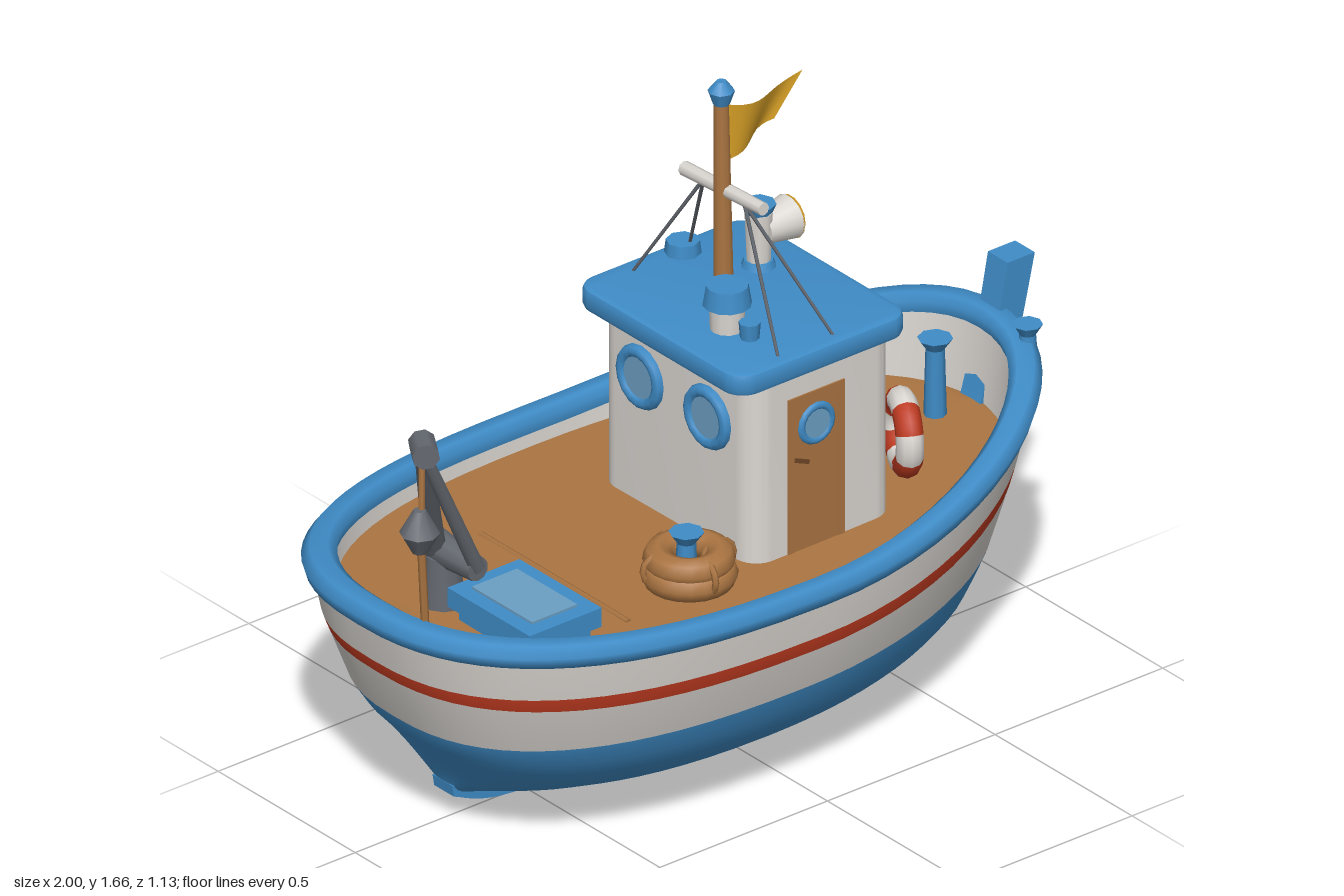
import * as THREE from 'three';
import { toCreasedNormals } from 'three/addons/utils/BufferGeometryUtils.js';

const paint = (name, color) => {
  const m = new THREE.MeshStandardMaterial({ color });
  m.name = name;
  return m;
};

export function createModel() {
  const blue = paint('blue', 0x3f8cc7), white = paint('white', 0xdbd7d2), red = paint('red', 0xbd3a20);
  const wood = paint('wood', 0xab7542), darkWood = paint('darkWood', 0x6e4726), yellow = paint('yellow', 0xd9a127);
  const grey = paint('grey', 0x646970), glass = paint('glass', 0x6c9fc3);
  yellow.side = THREE.DoubleSide;

  const boat = new THREE.Group();
  boat.name = 'fishingBoat';
  const V = (x, y, z) => new THREE.Vector3(x, y, z);

  function add(name, geo, mat, pos = [0, 0, 0], rot = [0, 0, 0], parent = boat) {
    const m = new THREE.Mesh(geo, mat);
    m.name = name;
    m.position.set(...pos);
    m.rotation.set(...rot);
    parent.add(m);
    return m;
  }
  const box = (name, size, mat, pos, rot) => add(name, new THREE.BoxGeometry(...size), mat, pos, rot);
  const post = (name, r0, r1, h, mat, [x, y, z], sides = 12) => // stands on y
    add(name, new THREE.CylinderGeometry(r1, r0, h, sides), mat, [x, y + h / 2, z]);
  function rod(name, a, b, r0, r1, mat, sides = 8) {
    const d = b.clone().sub(a);
    const m = add(name, new THREE.CylinderGeometry(r1, r0, d.length(), sides), mat);
    m.position.copy(a).addScaledVector(d, 0.5);
    m.quaternion.setFromUnitVectors(V(0, 1, 0), d.normalize());
    return m;
  }

  // Waterplane ring: half width, bow x, stern x, height, rise at bow and stern, bow fullness
  const N = 72;
  function ring([w, bow, stern, y, riseBow, riseStern, full = 2.1]) {
    const mid = -0.05, pts = [];
    for (let i = 0; i < N; i++) {
      const t = (i / N) * Math.PI * 2, c = Math.cos(t), s = Math.sin(t);
      const n = c > 0 ? full : 2.5;
      const pw = v => Math.sign(v) * Math.pow(Math.abs(v), 2 / n);
      const x = mid + pw(c) * (c > 0 ? bow - mid : mid - stern);
      const rise = x > 0 ? riseBow * (x / bow) ** 1.8 : riseStern * (x / stern) ** 2;
      pts.push(x, y + rise, w * pw(s));
    }
    return pts;
  }
  // Skin over rings; bands lists the material of each strip
  function loft(name, levels, mats, bands) {
    const g = new THREE.BufferGeometry(), idx = [];
    g.setAttribute('position', new THREE.Float32BufferAttribute(levels.flatMap(ring), 3));
    for (let j = 0; j < levels.length - 1; j++) {
      if (bands) g.addGroup(idx.length, N * 6, bands[j]);
      for (let i = 0; i < N; i++) {
        const a = j * N + i, b = j * N + (i + 1) % N;
        idx.push(a, a + N, b, b, a + N, b + N);
      }
    }
    g.setIndex(idx);
    g.computeVertexNormals();
    return add(name, g, mats);
  }

  // Hull, from keel to rim
  loft('hull', [
    [0, 0.67, -0.72, 0.008, 0.035, 0.055, 1.9],
    [0.07, 0.68, -0.73, 0.022, 0.035, 0.05, 1.9],
    [0.2, 0.695, -0.74, 0.062, 0.03, 0.04, 1.9],
    [0.28, 0.71, -0.75, 0.09, 0.025, 0.035, 1.9],
    [0.345, 0.725, -0.765, 0.123, 0.02, 0.03, 1.9],
    [0.395, 0.748, -0.785, 0.16, 0.015, 0.025, 1.9],
    [0.435, 0.772, -0.815, 0.205, 0.01, 0.02, 1.9],
    [0.465, 0.797, -0.85, 0.255, 0.02, 0.01, 1.9],
    [0.49, 0.827, -0.885, 0.315, 0.025, 0.005, 1.9],
    [0.527, 0.875, -0.935, 0.43, 0.1, 0.025, 1.97],
    [0.535, 0.888, -0.95, 0.467, 0.12, 0.025, 2],
    [0.55, 0.92, -0.978, 0.58, 0.17, 0.04],
  ], [blue, white, red], [0, 0, 0, 0, 0, 0, 0, 0, 1, 2, 1]);
  loft('bulwarkInside', [
    [0.505, 0.865, -0.925, 0.6, 0.17, 0.04], [0.5, 0.845, -0.91, 0.515, 0.02, 0.02]], white);
  loft('deck', [
    [0.505, 0.85, -0.915, 0.53, 0.02, 0.02], [0.25, 0.85, -0.915, 0.535, 0.02, 0.02],
    [0, 0.85, -0.915, 0.538, 0.02, 0.02]], wood);
  loft('rail', [
    [0.53, 0.895, -0.955, 0.556, 0.17, 0.04], [0.558, 0.925, -0.992, 0.56, 0.17, 0.04],
    [0.565, 0.935, -1.0, 0.588, 0.17, 0.04], [0.548, 0.915, -0.98, 0.612, 0.17, 0.04],
    [0.513, 0.872, -0.937, 0.612, 0.17, 0.04], [0.495, 0.852, -0.915, 0.595, 0.17, 0.04],
    [0.5, 0.86, -0.92, 0.565, 0.17, 0.04]], blue);

  // Keel running up into the stem post
  const keel = new THREE.Shape();
  keel.moveTo(-0.74, 0.1);
  keel.lineTo(-0.735, 0.07);
  keel.splineThru([[-0.6, 0.025], [-0.3, 0.008], [0, 0], [0.35, 0.012], [0.62, 0.045], [0.7, 0.1], [0.78, 0.24],
    [0.87, 0.45], [0.945, 0.68], [0.998, 0.9]].map(p => new THREE.Vector2(...p)));
  keel.lineTo(0.917, 0.9);
  keel.splineThru([[0.875, 0.7], [0.8, 0.45], [0.7, 0.22], [0.6, 0.1], [0.3, 0.06], [-0.3, 0.06]]
    .map(p => new THREE.Vector2(...p)));
  add('keelAndStem', toCreasedNormals(new THREE.ExtrudeGeometry(keel,
    { depth: 0.072, bevelEnabled: false, curveSegments: 20 }), 0.6), blue, [0, 0, -0.036]);

  // Rounded rectangle plan, raised to a height
  function slab(name, w, d, h, r, bevel, mat, pos) {
    const s = new THREE.Shape(), a = w / 2 - bevel, b = d / 2 - bevel;
    s.moveTo(a, -b + r);
    s.absarc(a - r, b - r, r, 0, Math.PI / 2);
    s.absarc(-a + r, b - r, r, Math.PI / 2, Math.PI);
    s.absarc(-a + r, -b + r, r, Math.PI, Math.PI * 1.5);
    s.absarc(a - r, -b + r, r, Math.PI * 1.5, Math.PI * 2);
    const g = new THREE.ExtrudeGeometry(s, { depth: h - 2 * bevel, bevelEnabled: bevel > 0, bevelSize: bevel,
      bevelThickness: bevel, bevelSegments: 2, curveSegments: 6 });
    g.translate(0, 0, bevel);
    g.rotateX(-Math.PI / 2);
    return add(name, toCreasedNormals(g, 0.7), mat, pos);
  }

  // Wheelhouse
  slab('cabin', 0.43, 0.56, 0.5, 0.06, 0, white, [0.17, 0.52, 0]);
  slab('roof', 0.52, 0.61, 0.058, 0.045, 0.014, blue, [0.16, 1.0, -0.005]);

  // Round window looking along a yaw direction
  function porthole(name, r, pos, yaw) {
    const g = new THREE.Group();
    g.name = name;
    g.position.set(...pos);
    g.rotation.y = yaw;
    boat.add(g);
    const tube = r * 0.2;
    add('windowFrame', new THREE.TorusGeometry(r - tube, tube, 8, 16), blue, [0, 0, 0], [0, 0, 0], g);
    add('windowGlass', new THREE.CylinderGeometry(r - tube, r - tube, 0.008, 16), glass,
      [0, 0, 0.004], [Math.PI / 2, 0, 0], g);
  }
  for (const s of [1, -1]) {
    porthole('frontPorthole', 0.082, [0.388, 0.87, 0.123 * s], Math.PI / 2);
    porthole('backPorthole', 0.082, [-0.048, 0.87, 0.123 * s], -Math.PI / 2);
    // Side doors, nearly flush with the walls
    box('doorPanel', [0.15, 0.4, 0.008], wood, [0.145, 0.735, 0.278 * s]);
    for (const e of [-1, 1]) box('doorPost', [0.018, 0.41, 0.014], wood, [0.145 + 0.075 * e, 0.737, 0.277 * s]);
    box('doorLintel', [0.168, 0.018, 0.014], wood, [0.145, 0.933, 0.277 * s]);
    box('doorHandle', [0.045, 0.01, 0.01], darkWood, [0.1, 0.77, 0.282 * s], [0, 0, -0.4]);
    porthole('doorWindow', 0.056, [0.145, 0.855, 0.279 * s], s > 0 ? 0 : Math.PI);
  }

  // Mast with yard, stays and flag
  rod('mast', V(0.1, 1.04, 0), V(0.092, 1.61, 0), 0.025, 0.018, wood, 10);
  post('mastCap', 0.02, 0.032, 0.035, blue, [0.092, 1.595, 0], 8);
  post('mastCapTip', 0.032, 0.012, 0.025, blue, [0.092, 1.63, 0], 8);
  rod('yard', V(0.1, 1.36, -0.145), V(0.1, 1.375, 0.145), 0.018, 0.016, white);
  for (const s of [1, -1]) for (const x of [0.045, 0.21])
    rod('stay', V(0.1, 1.36, 0.075 * s), V(x, 1.055, 0.265 * s), 0.005, 0.004, grey, 5);
  const flag = new THREE.PlaneGeometry(1, 1, 10, 2), fp = flag.attributes.position;
  for (let i = 0; i < fp.count; i++) {
    const u = fp.getX(i) + 0.5, v = fp.getY(i) + 0.5;
    const top = 1.59 - 0.05 * Math.sin(u * 2.2) + 0.015 * u, low = 1.44 + 0.025 * u;
    fp.setXYZ(i, 0.1 + u * (0.19 + 0.085 * v), low + (top - low) * v, -0.045 * u + 0.015 * Math.sin(u * 6));
  }
  flag.computeVertexNormals();
  add('flag', flag, yellow);

  // Roof fittings
  post('ventPipe', 0.04, 0.043, 0.08, white, [0.04, 1.05, 0.085]);
  post('ventCap', 0.058, 0.05, 0.05, blue, [0.04, 1.122, 0.085]);
  post('ventStub', 0.022, 0.026, 0.05, blue, [0.05, 1.05, 0.155], 8);
  post('roofHatch', 0.045, 0.04, 0.04, blue, [0.19, 1.05, -0.26], 8);
  post('lampPost', 0.028, 0.034, 0.15, white, [0.285, 1.05, -0.1], 10);
  post('lampPostFoot', 0.045, 0.035, 0.025, blue, [0.285, 1.05, -0.1], 10);
  post('lampPostCap', 0.032, 0.042, 0.025, blue, [0.285, 1.197, -0.1], 8);
  rod('searchlight', V(0.295, 1.15, -0.1), V(0.378, 1.155, -0.1), 0.038, 0.055, white, 14);
  rod('searchlightLens', V(0.376, 1.155, -0.1), V(0.383, 1.155, -0.1), 0.055, 0.052, yellow, 14);

  // Lifebelt in eight alternating arcs
  const belt = new THREE.Group();
  belt.name = 'lifebelt';
  belt.position.set(0.415, 0.73, 0.268);
  belt.rotation.y = 1.1;
  boat.add(belt);
  for (let i = 0; i < 8; i++)
    add('lifebeltArc', new THREE.TorusGeometry(0.076, 0.033, 10, 5, Math.PI / 4), i % 2 ? white : red,
      [0, 0, 0], [0, 0, (i + 0.5) * Math.PI / 4], belt);

  // Bollards and cleat
  function bollard(name, x, y, z, h, r) {
    post(name + 'Post', r, r * 0.8, h, blue, [x, y, z], 8);
    post(name + 'Head', r * 0.8, r * 1.5, 0.028, blue, [x, y + h - 0.01, z], 8);
  }
  bollard('bowBollard', 0.73, 0.53, 0, 0.205, 0.028);
  bollard('sideBollard', -0.2, 0.52, 0.23, 0.128, 0.028);
  bollard('railCleat', 0.875, 0.72, 0.16, 0.07, 0.024);

  // Coiled rope
  [[0.565, 0.08], [0.603, 0.074]].forEach(([y, r]) =>
    add('ropeCoil', new THREE.TorusGeometry(r, 0.035, 8, 20), wood, [-0.2, y, 0.24], [Math.PI / 2, 0, 0]));
  for (const a of [0.2, 1.7, 3.4, 4.7])
    add('ropeTie', new THREE.TorusGeometry(0.04, 0.008, 6, 12), wood,
      [-0.2 + 0.077 * Math.cos(a), 0.588, 0.24 + 0.077 * Math.sin(a)], [0, -a, 0]);
  rod('deckSeam', V(-0.43, 0.538, -0.24), V(-0.43, 0.538, 0.3), 0.008, 0.008, wood, 6);

  // Hold hatch: lid on a smaller coaming
  box('hatchCoaming', [0.18, 0.07, 0.26], blue, [-0.65, 0.56, 0.19]);
  box('hatchLid', [0.215, 0.05, 0.3], blue, [-0.65, 0.607, 0.19]);
  box('hatchPane', [0.135, 0.008, 0.22], glass, [-0.65, 0.634, 0.19]);

  // Stern crane
  const tip = V(-0.9, 1.075, 0.125);
  post('craneBase', 0.055, 0.045, 0.15, grey, [-0.715, 0.53, -0.03], 10);
  rod('craneAxle', V(-0.715, 0.69, -0.09), V(-0.715, 0.69, 0.1), 0.045, 0.03, grey, 10);
  rod('craneBoom', V(-0.73, 0.69, -0.04), tip, 0.028, 0.02, grey);
  rod('craneStrut', V(-0.71, 0.69, 0.09), tip, 0.02, 0.016, grey);
  rod('craneHead', V(-0.875, 1.08, 0.09), V(-0.915, 1.08, 0.155), 0.033, 0.033, grey);
  rod('craneCable', V(-0.915, 1.08, 0.14), V(-0.925, 0.92, 0.15), 0.008, 0.008, wood, 6);
  post('craneBlockLower', 0.02, 0.048, 0.05, grey, [-0.93, 0.835, 0.15], 8);
  post('craneBlockUpper', 0.048, 0.015, 0.06, grey, [-0.93, 0.885, 0.15], 8);
  rod('craneRope', V(-0.925, 0.84, 0.15), V(-0.912, 0.6, 0.15), 0.01, 0.01, wood, 6);
  return boat;
}
